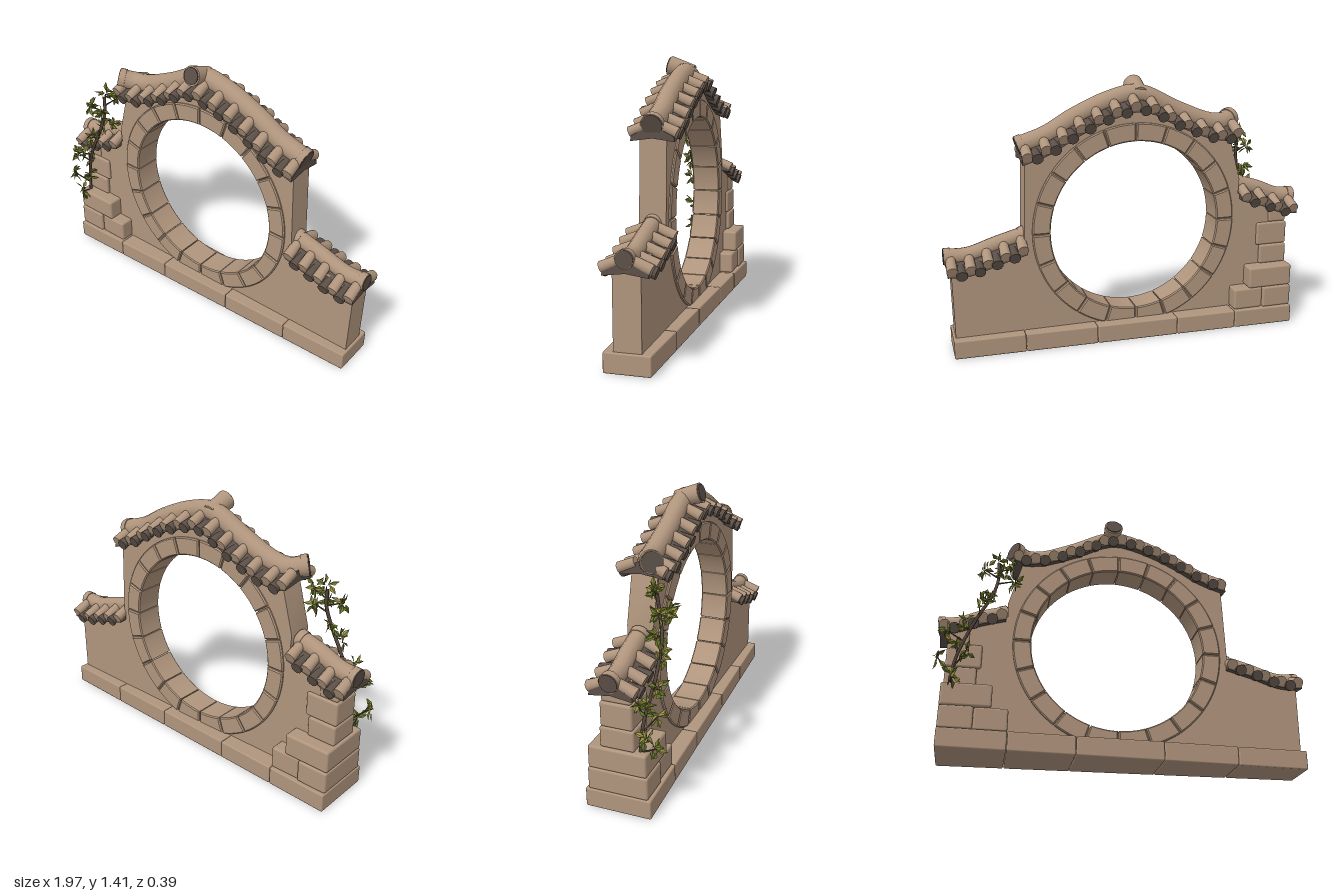
import * as THREE from 'three';
import { toCreasedNormals, mergeGeometries } from 'three/addons/utils/BufferGeometryUtils.js';
import { RoundedBoxGeometry } from 'three/addons/geometries/RoundedBoxGeometry.js';

const V = (x, y, z) => new THREE.Vector3(x, y, z);
const ZC = -0.027; // middle plane of the wall
const RING = { x: -0.018, y: 0.625, inner: 0.464, outer: 0.56 };

const mat = (name, color, side = THREE.FrontSide) => {
  const m = new THREE.MeshStandardMaterial({ color, side });
  m.name = name;
  return m;
};

export function createModel() {
  const stone = mat('sandstone', 0xb0957d);
  const dark = mat('dark tile', 0x5c5048);
  const bark = mat('bark', 0x55463a);
  const leafA = mat('olive leaf', 0x6d7a2c, THREE.DoubleSide);
  const leafB = mat('yellow leaf', 0x979040, THREE.DoubleSide);

  const model = new THREE.Group();
  model.name = 'moonGate';
  let seed = 7;
  const rand = () => (seed = (seed * 16807) % 2147483647) / 2147483647;

  const add = (parent, name, geo, material) => {
    const m = new THREE.Mesh(geo, material);
    m.name = name;
    parent.add(m);
    return m;
  };
  const group = (name) => {
    const g = new THREE.Group();
    g.name = name;
    model.add(g);
    return g;
  };
  // Cylinder running from a to b
  const rod = (parent, name, a, b, r0, r1, material, sides = 12) => {
    const m = add(parent, name, new THREE.CylinderGeometry(r1, r0, a.distanceTo(b), sides), material);
    m.position.copy(a).add(b).multiplyScalar(0.5);
    m.quaternion.setFromUnitVectors(V(0, 1, 0), b.clone().sub(a).normalize());
    return m;
  };

  // Ridge lines of the three roofs, left to right
  const path = (pts) => new THREE.CatmullRomCurve3(pts.map(([x, y, z = ZC]) => V(x, y, z)));
  const mainRidge = path([[-0.595, 1.165, 0.03], [-0.53, 1.15, -0.015], [-0.44, 1.16], [-0.26, 1.23],
    [-0.05, 1.325], [0.1, 1.3], [0.3, 1.215], [0.44, 1.135], [0.585, 1.085]]);
  const leftRidge = path([[-0.955, 0.71, -0.03], [-0.86, 0.72], [-0.75, 0.765], [-0.62, 0.805]]);
  const rightRidge = path([[0.575, 0.615], [0.72, 0.575], [0.87, 0.53], [0.985, 0.53]]);

  // Wall with a round opening
  const wall = new THREE.Shape();
  wall.moveTo(-0.9, 0.08);
  wall.lineTo(0.96, 0.08);
  wall.lineTo(0.965, 0.48);
  wall.lineTo(0.585, 0.57);
  for (let i = 19; i >= 1; i--) {
    const p = mainRidge.getPointAt(i / 20);
    wall.lineTo(i === 19 ? 0.568 : Math.max(p.x, -0.55), p.y - 0.05);
  }
  wall.lineTo(-0.615, 0.84);
  wall.lineTo(-0.61, 0.76);
  wall.lineTo(-0.89, 0.68);
  const hole = new THREE.Path();
  hole.absarc(RING.x, RING.y, RING.inner + 0.012, 0, Math.PI * 2, true);
  wall.holes.push(hole);
  const wallGeo = new THREE.ExtrudeGeometry(wall, { depth: 0.135, bevelEnabled: false, curveSegments: 48 });
  wallGeo.translate(0, 0, ZC - 0.0675);
  add(model, 'wall', toCreasedNormals(wallGeo, 0.5), stone);

  // Ring of wedge blocks around the opening
  const ring = group('ring');
  const N = 20;
  for (let i = 0; i < N; i++) {
    const a0 = (i / N) * Math.PI * 2 + 0.006, a1 = ((i + 1) / N) * Math.PI * 2 - 0.006;
    const s = new THREE.Shape();
    s.absarc(0, 0, RING.outer, a0, a1, false);
    s.absarc(0, 0, RING.inner, a1, a0, true);
    const g = new THREE.ExtrudeGeometry(s, { depth: 0.148, bevelThickness: 0.006, bevelSize: 0.006,
      bevelOffset: -0.006, bevelSegments: 1, curveSegments: 5 });
    g.translate(RING.x, RING.y, ZC - 0.074);
    add(ring, 'ringBlock', toCreasedNormals(g, 0.5), stone);
  }

  // Plinth of blocks that narrows toward +x
  const plinth = group('plinth');
  const cuts = [-0.922, -0.58, -0.24, 0.21, 0.6, 0.975];
  const narrow = (x) => 1 - 0.33 * (x + 0.92) / 1.895;
  for (let i = 0; i < cuts.length - 1; i++) {
    const w = cuts[i + 1] - cuts[i];
    const g = new RoundedBoxGeometry(w - 0.002, 0.1, 0.34, 2, 0.008);
    g.translate(cuts[i] + w / 2, 0.05, 0);
    const p = g.attributes.position;
    for (let k = 0; k < p.count; k++) p.setZ(k, p.getZ(k) * narrow(p.getX(k)) + ZC);
    add(plinth, 'plinthBlock', g, stone);
  }

  // Stepped corner blocks on the left: x0, x1, y0, y1, half depth
  const corner = group('cornerBlocks');
  [[-0.92, -0.75, 0.1, 0.22, 0.155], [-0.75, -0.58, 0.1, 0.22, 0.145], [-0.92, -0.665, 0.22, 0.34, 0.15],
    [-0.91, -0.75, 0.34, 0.45, 0.088], [-0.91, -0.73, 0.45, 0.58, 0.082],
    [-0.905, -0.8, 0.58, 0.68, 0.076]].forEach(([x0, x1, y0, y1, h]) => {
    const m = add(corner, 'cornerBlock', new RoundedBoxGeometry(x1 - x0, y1 - y0, h * 2, 2, 0.012), stone);
    m.position.set((x0 + x1) / 2, (y0 + y1) / 2, ZC);
  });

  // Roof: sloped bed, row of tiles on both sides, ridge tube with end discs
  const roof = (name, ridge, count, r) => {
    const g = group(name);
    const bed = new THREE.Shape([[0, 0], [-0.105, -0.055], [-0.11, -0.08], [0, -0.065], [0.11, -0.08], [0.105, -0.055]]
      .map(([x, y]) => new THREE.Vector2(x, y)));
    const bedGeo = new THREE.ExtrudeGeometry(bed, { depth: 1, steps: 24, bevelEnabled: false });
    const p = bedGeo.attributes.position;
    for (let k = 0; k < p.count; k++) {
      const c = ridge.getPointAt(p.getZ(k));
      p.setXYZ(k, c.x, c.y + p.getY(k), ZC - p.getX(k));
    }
    add(g, 'roofBed', toCreasedNormals(bedGeo, 0.6), dark);

    for (let i = 0; i < count * 2 - 1; i++) {
      const c = ridge.getPointAt((i + 0.5) / (count * 2 - 1));
      for (const s of [-1, 1]) {
        const at = (dz, dy) => V(c.x, c.y + dy, ZC + s * dz);
        if (i % 2 === 0) {
          rod(g, 'rollTile', at(0.03, -0.01), at(0.118, -0.048), 0.026, 0.029, stone);
        } else {
          rod(g, 'troughTile', at(0.05, -0.045), at(0.126, -0.07), 0.022, 0.03, dark, 10);
        }
      }
    }

    add(g, 'ridge', new THREE.TubeGeometry(ridge, 40, r, 12), stone);
    for (const t of [0, 1]) {
      const c = ridge.getPointAt(t), d = ridge.getTangentAt(t).multiplyScalar(t ? 1 : -1);
      const step = (k) => c.clone().addScaledVector(d, k);
      rod(g, 'ridgeCollar', step(-0.025), step(0.008), r * 1.08, r * 1.08, stone, 16);
      rod(g, 'ridgeEndDisc', step(0.006), step(0.012), r, r, dark, 16);
    }
    return g;
  };
  const main = roof('mainRoof', mainRidge, 13, 0.052);
  roof('leftRoof', leftRidge, 4, 0.046);
  roof('rightRoof', rightRidge, 5, 0.042);

  // Round finial on the crest, facing front
  rod(main, 'finial', V(-0.05, 1.325, -0.06), V(-0.05, 1.365, 0.07), 0.042, 0.052, stone, 18);
  rod(main, 'finialDisc', V(-0.05, 1.365, 0.069), V(-0.05, 1.367, 0.076), 0.044, 0.044, dark, 18);

  // Climbing plant: stem, twigs and leaf clusters
  const plant = group('plant');
  const stem = new THREE.CatmullRomCurve3([V(-0.88, 0.335, 0.08), V(-0.86, 0.48, 0.09), V(-0.78, 0.68, 0.12),
    V(-0.7, 0.84, 0.12), V(-0.675, 0.95, 0.1), V(-0.68, 1.05, 0.09)]);
  add(plant, 'stem', new THREE.TubeGeometry(stem, 30, 0.009, 6), bark);
  const clusters = [[-0.95, 0.46, 0.14], [-0.87, 0.36, 0.15], [-0.86, 0.56, 0.07], [-0.91, 0.61, 0.13],
    [-0.83, 0.65, 0.15], [-0.81, 0.5, 0.14], [-0.75, 0.78, 0.14], [-0.71, 0.85, 0.1], [-0.75, 0.98, 0.13],
    [-0.68, 1.06, 0.08], [-0.62, 1.04, 0.06], [-0.595, 0.93, 0.12], [-0.66, 0.97, 0.13]];
  const leaf = new THREE.BufferGeometry();
  leaf.setAttribute('position', new THREE.Float32BufferAttribute(
    [0, 0, 0, 0.013, 0.028, 0.006, 0, 0.055, 0, 0, 0, 0, 0, 0.055, 0, -0.013, 0.028, 0.006], 3));
  leaf.computeVertexNormals();
  const leaves = [[], []];
  clusters.forEach(([x, y, z]) => {
    const tip = V(x, y, z);
    const root = stem.getPoint(Math.min(1, Math.max(0, (y - 0.4) / 0.72)));
    rod(plant, 'twig', root, tip, 0.005, 0.003, bark, 5);
    for (let i = 0; i < 10; i++) {
      const m = new THREE.Matrix4().makeRotationFromEuler(
        new THREE.Euler(rand() * 2.4 - 1.2, rand() * 6.28, i * 0.63 + rand() * 0.4));
      m.setPosition(x + (rand() - 0.5) * 0.03, y + (rand() - 0.5) * 0.04, z + (rand() - 0.5) * 0.02);
      leaves[i % 3 === 0 ? 1 : 0].push(leaf.clone().applyMatrix4(m));
    }
  });
  add(plant, 'oliveLeaves', mergeGeometries(leaves[0]), leafA);
  add(plant, 'yellowLeaves', mergeGeometries(leaves[1]), leafB);

  return model;
}
